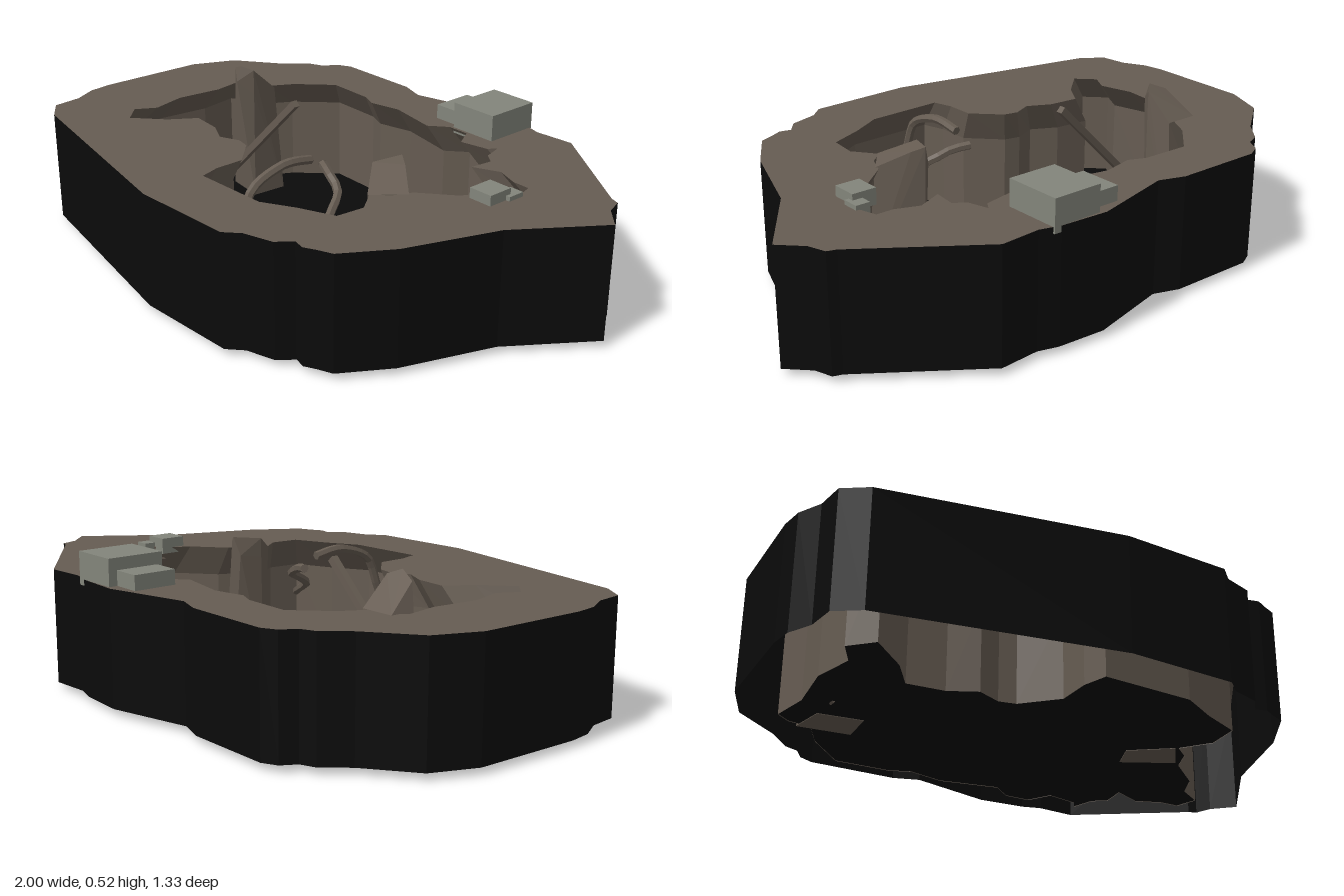
import * as THREE from 'three';
import { ConvexGeometry } from 'three/addons/geometries/ConvexGeometry.js';

const TOP = 0.41;

// Outlines as [x, z]
const OUTER = [
  [1, -0.25], [0.93, -0.32], [0.91, -0.38], [0.88, -0.39], [0.51, -0.65], [0.37, -0.64], [0.3, -0.66], [0.13, -0.67],
  [-0.16, -0.595], [-0.25, -0.625], [-0.56, -0.625], [-0.61, -0.6], [-0.64, -0.55], [-0.69, -0.53], [-0.76, -0.45],
  [-0.92, -0.33], [-0.985, -0.18], [-1, 0.2], [-0.99, 0.28], [-0.95, 0.36], [-0.94, 0.46], [-0.86, 0.515],
  [-0.09, 0.66], [0.28, 0.645], [0.33, 0.6], [0.43, 0.57], [0.47, 0.52], [0.51, 0.53], [0.55, 0.51], [0.6, 0.49],
  [0.7, 0.33], [0.81, 0.02],
];
const HOLE = [
  [-0.69, -0.08], [-0.71, -0.2], [-0.67, -0.23], [-0.6, -0.24], [-0.55, -0.33], [-0.44, -0.44], [-0.27, -0.435],
  [-0.21, -0.41], [-0.1, -0.435], [0.08, -0.4], [0.14, -0.45], [0.22, -0.45], [0.26, -0.38], [0.36, -0.4], [0.38, -0.43],
  [0.4, -0.36], [0.44, -0.33], [0.43, -0.25], [0.52, -0.29], [0.6, -0.26], [0.66, -0.26], [0.68, -0.19], [0.6, -0.14],
  [0.56, -0.06], [0.45, 0.03], [0.42, 0.1], [0.37, 0.14], [0.43, 0.22], [0.42, 0.32], [0.3, 0.37], [0.19, 0.43],
  [-0.08, 0.44], [-0.1, 0.37], [-0.1, 0.27], [-0.19, 0.18], [-0.24, 0.17], [-0.31, 0.2], [-0.39, 0.16], [-0.5, 0.15],
  [-0.56, 0.24], [-0.66, 0.33], [-0.72, 0.27], [-0.68, 0.2], [-0.71, 0.08],
];
// The cave below the lip is wider than its mouth
const CAVE = HOLE.map(([x, z]) => [x * 1.16, z * 1.19]);

const material = (name, color) => {
  const m = new THREE.MeshStandardMaterial({ color, side: THREE.DoubleSide, flatShading: true });
  m.name = name;
  return m;
};

// Flat horizontal plate from an outline, with an optional hole
function plate(outline, y, hole) {
  const points = (list) => list.map(([x, z]) => new THREE.Vector2(x, -z));
  const shape = new THREE.Shape(points(outline));
  if (hole) shape.holes.push(new THREE.Path(points(hole)));
  return new THREE.ShapeGeometry(shape).rotateX(-Math.PI / 2).translate(0, y, 0);
}

// Wall joining an upper outline to a lower one
function wall(upper, yUpper, lower, yLower) {
  const pos = [];
  const n = upper.length;
  for (let i = 0; i < n; i++) {
    const j = (i + 1) % n;
    const a = [upper[i][0], yUpper, upper[i][1]];
    const b = [upper[j][0], yUpper, upper[j][1]];
    const c = [lower[j][0], yLower, lower[j][1]];
    const d = [lower[i][0], yLower, lower[i][1]];
    pos.push(...a, ...b, ...c, ...a, ...c, ...d);
  }
  const g = new THREE.BufferGeometry();
  g.setAttribute('position', new THREE.Float32BufferAttribute(pos, 3));
  g.computeVertexNormals();
  return g;
}

const vec = (list) => list.map((p) => new THREE.Vector3(...p));

export function createModel() {
  const group = new THREE.Group();
  const earth = material('earth brown', 0x665c52);
  const dark = material('cave black', 0x0b0b0b);
  const stone = material('stone grey', 0x83857b);
  const add = (name, geometry, mat) => {
    const mesh = new THREE.Mesh(geometry, mat);
    mesh.name = name;
    group.add(mesh);
    return mesh;
  };

  // Ground surface, outer skirt and the cave
  add('ground', plate(OUTER, TOP, HOLE), earth);
  add('outerSkirt', wall(OUTER, TOP, OUTER, 0.02), dark);
  add('caveLip', wall(HOLE, TOP, CAVE, 0.3), earth);
  add('caveWall', wall(CAVE, 0.3, CAVE, 0), earth);
  add('caveFloor', plate(CAVE, 0.002), dark);

  // Stone blocks lying on the rim: x, z range and top height
  const blocks = [
    [0.15, 0.325, -0.66, -0.46, 0.5],
    [0.05, 0.15, -0.63, -0.48, 0.46],
    [0.59, 0.675, -0.16, -0.07, 0.445],
    [0.64, 0.69, -0.2, -0.14, 0.425],
  ];
  for (const [x0, x1, z0, z1, top] of blocks) {
    const h = top - 0.39;
    add('stoneBlock', new THREE.BoxGeometry(x1 - x0, h, z1 - z0), stone)
      .position.set((x0 + x1) / 2, top - h / 2, (z0 + z1) / 2);
  }

  // Leaning rock slabs
  add('leftRock', new ConvexGeometry(vec([
    [-0.66, 0.49, -0.14], [-0.6, 0.515, -0.12], [-0.565, 0.5, -0.15], [-0.6, 0.46, -0.1],
    [-0.69, 0.41, -0.25], [-0.57, 0.41, -0.25], [-0.7, 0.39, -0.17], [-0.565, 0.41, -0.15],
    [-0.74, 0, -0.3], [-0.56, 0, -0.28], [-0.72, 0, -0.17], [-0.57, 0, -0.15],
  ])), earth);
  add('rightRock', new ConvexGeometry(vec([
    [0.32, 0.475, -0.045], [0.285, 0.465, 0.05], [0.36, 0.46, -0.02], [0.45, 0.41, 0.05], [0.37, 0.41, 0.15],
    [0.3, 0.41, -0.03], [0.285, 0.4, 0.05],
    [0.33, 0, -0.04], [0.29, 0, 0.06], [0.5, 0, 0.05], [0.42, 0, 0.16],
  ])), earth);

  // Straight pole leaning out of the cave
  const [foot, tip] = vec([[-0.72, 0.005, -0.068], [-0.23, 0.485, -0.068]]);
  const axis = tip.clone().sub(foot);
  const pole = add('leaningPole', new THREE.BoxGeometry(0.024, axis.length(), 0.024), earth);
  pole.position.copy(foot).lerp(tip, 0.5);
  pole.quaternion.setFromUnitVectors(new THREE.Vector3(0, 1, 0), axis.normalize());

  // Bent roots growing from the cave wall
  const roots = {
    archedRoot: [[0.07, 0.425, 0.12], [0.07, 0.438, 0.2], [0.07, 0.435, 0.25], [0.07, 0.39, 0.36], [0.07, 0.25, 0.43],
      [0.07, 0.2, 0.54]],
    windingRoot: [[0.06, 0.39, 0.06], [0.12, 0.38, 0.085], [0.19, 0.35, 0.11], [0.25, 0.31, 0.2], [0.31, 0.27, 0.28],
      [0.42, 0.22, 0.33], [0.56, 0.17, 0.44]],
  };
  for (const [name, path] of Object.entries(roots)) {
    const curve = new THREE.CatmullRomCurve3(vec(path));
    add(name, new THREE.TubeGeometry(curve, 18, 0.015, 6), earth);
    // Closed root tip
    const cap = add(name + 'Tip', new THREE.CircleGeometry(0.015, 6), earth);
    cap.position.copy(curve.getPoint(0));
    cap.lookAt(curve.getPoint(0).sub(curve.getTangent(0)));
  }

  return group;
}
